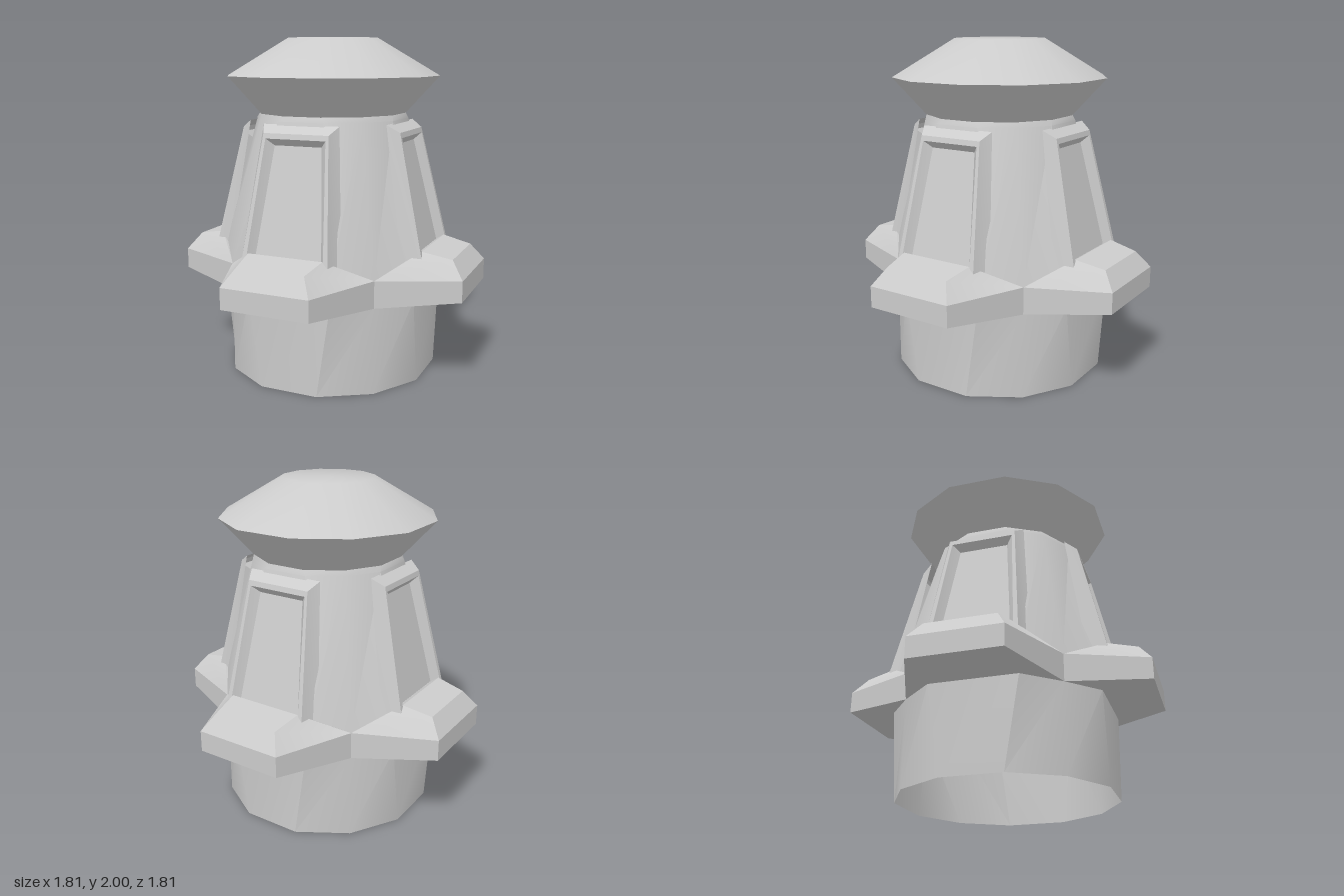
import * as THREE from 'three';
import { toCreasedNormals } from 'three/addons/utils/BufferGeometryUtils.js';

const material = new THREE.MeshStandardMaterial({ color: 0xcccccc, side: THREE.DoubleSide });

// Twelve-point ring: four flat sides (half width a, distance d) and four corners (c, c).
function ring(y, a, d, c, cornerY = y) {
  const points = [];
  for (let q = 0; q < 4; q++) {
    for (const [px, py, pz] of [[-a, y, d], [a, y, d], [c, cornerY, c]]) {
      let x = px, z = pz;
      for (let k = 0; k < q; k++) [x, z] = [z, -x];
      points.push(new THREE.Vector3(x, py, z));
    }
  }
  return points;
}

// Trapezoid loop facing +z, from [half width, y, z] at its bottom and top.
function trapezoid([bw, by, bz], [tw, ty, tz]) {
  return [[-bw, by, bz], [bw, by, bz], [tw, ty, tz], [-tw, ty, tz]].map(p => new THREE.Vector3(...p));
}

// Skin between successive closed loops, skipping collapsed triangles.
function loft(name, loops, crease = 0.6) {
  const positions = [];
  const triangle = (a, b, c) => {
    const area = b.clone().sub(a).cross(c.clone().sub(a)).length();
    if (area > 1e-7) for (const p of [a, b, c]) positions.push(p.x, p.y, p.z);
  };
  for (let l = 0; l < loops.length - 1; l++) {
    const lower = loops[l], upper = loops[l + 1], n = lower.length;
    for (let i = 0; i < n; i++) {
      const j = (i + 1) % n;
      triangle(lower[i], lower[j], upper[j]);
      triangle(lower[i], upper[j], upper[i]);
    }
  }
  const geometry = new THREE.BufferGeometry();
  geometry.setAttribute('position', new THREE.Float32BufferAttribute(positions, 3));
  geometry.computeVertexNormals();
  const mesh = new THREE.Mesh(toCreasedNormals(geometry, crease), material);
  mesh.name = name;
  return mesh;
}

export function createModel() {
  const model = new THREE.Group();
  model.name = 'tower';

  // Open-bottomed base whose four flat sides widen upward
  model.add(loft('base', [
    ring(0, 0.175, 0.622, 0.455),
    ring(0.515, 0.255, 0.622, 0.455, 0.51),
  ]));

  // Skirt with four projecting ledges
  model.add(loft('ledges', [
    ring(0.515, 0.255, 0.622, 0.455, 0.51),
    ring(0.545, 0.265, 0.905, 0.455, 0.51),
    ring(0.67, 0.265, 0.905, 0.455, 0.67),
    ring(0.77, 0.205, 0.83, 0.455, 0.67),
    ring(0.805, 0.23, 0.655, 0.455, 0.67),
    ring(0.77, 0.27, 0.6, 0.455, 0.67),
  ]));

  // Tapering upper body
  model.add(loft('body', [
    ring(0.77, 0.27, 0.6, 0.455, 0.67),
    ring(1.53, 0.14, 0.44, 0.32),
    ring(1.56, 0.118, 0.43, 0.315),
  ]));

  // Flared roof with a small flat top
  model.add(loft('roof', [
    ring(1.56, 0.118, 0.43, 0.315),
    ring(1.78, 0.175, 0.622, 0.455),
    ring(2, 0.07, 0.265, 0.194),
    ring(2, 0, 0, 0),
  ]));

  // Four bevelled window frames with recessed panes
  const outerBase = trapezoid([0.3, 0.72, 0.56], [0.235, 1.515, 0.435]);
  const outerFront = trapezoid([0.265, 0.76, 0.668], [0.2, 1.47, 0.505]);
  const innerFront = trapezoid([0.237, 0.78, 0.664], [0.185, 1.44, 0.512]);
  const innerBack = trapezoid([0.205, 0.78, 0.615], [0.145, 1.4, 0.475]);
  const paneCentre = Array(4).fill(new THREE.Vector3(0, 1.09, 0.545));
  for (let i = 0; i < 4; i++) {
    const window = new THREE.Group();
    window.name = 'window';
    window.add(loft('windowFrame', [outerBase, outerFront, innerFront, innerBack], 0.4));
    window.add(loft('windowPane', [innerBack, paneCentre]));
    window.rotation.y = i * Math.PI / 2;
    model.add(window);
  }
  return model;
}
